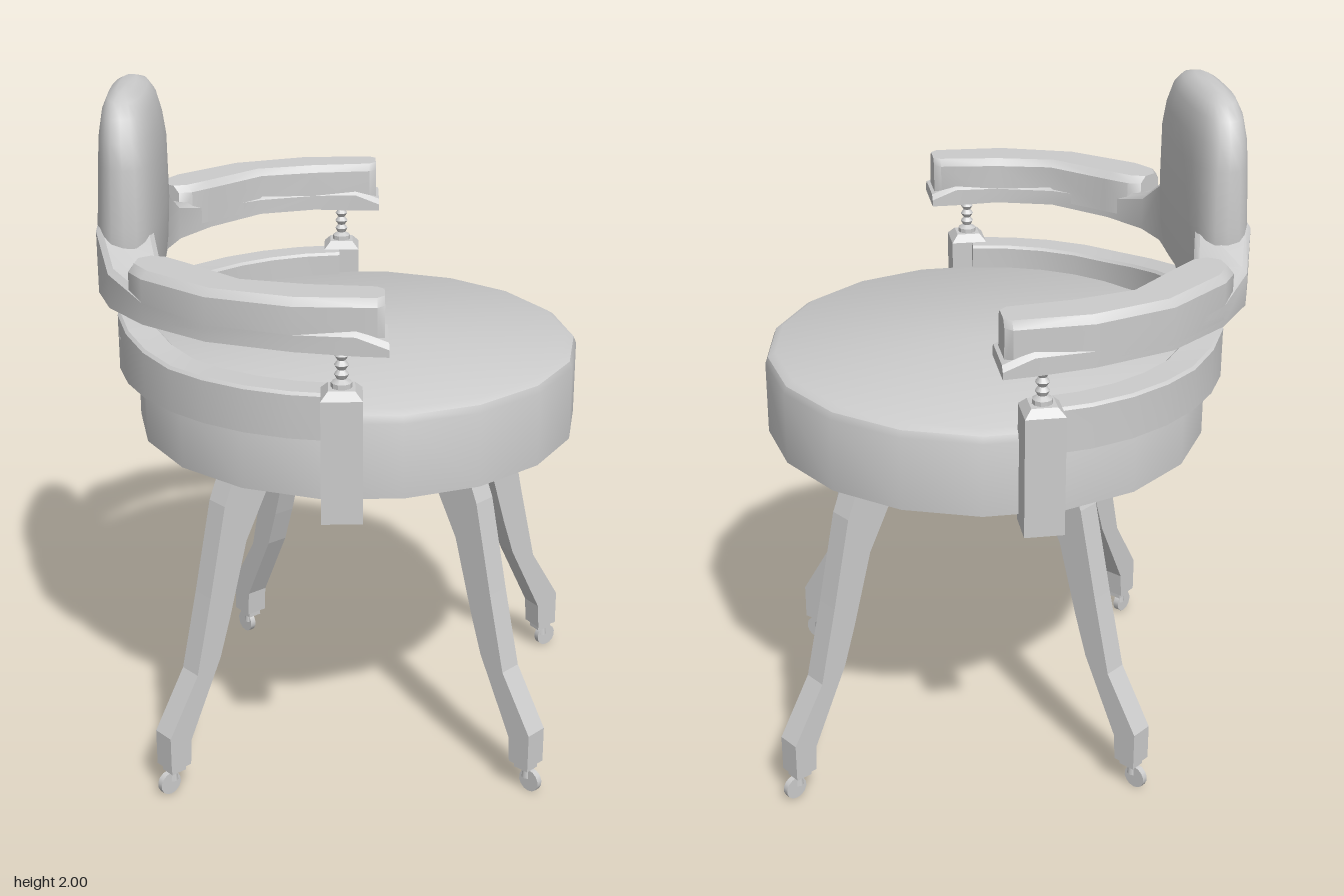
import * as THREE from 'three';
import { toCreasedNormals } from 'three/addons/utils/BufferGeometryUtils.js';

const material = new THREE.MeshStandardMaterial({ color: 0xcccccc });

function add(parent, name, geometry, x = 0, y = 0, z = 0) {
  const mesh = new THREE.Mesh(geometry, material);
  mesh.name = name;
  mesh.position.set(x, y, z);
  parent.add(mesh);
  return mesh;
}

// Closed skin over equal-length rings of [x, y, z], capped at both ends.
function loft(rings, crease = 0.6) {
  const n = rings[0].length;
  const points = rings.flat();
  const index = [];
  for (let r = 0; r < rings.length - 1; r++) {
    for (let i = 0; i < n; i++) {
      const a = r * n + i, b = r * n + (i + 1) % n;
      index.push(a, b, b + n, a, b + n, a + n);
    }
  }
  [0, rings.length - 1].forEach((r, k) => {
    const c = points.length;
    points.push([0, 1, 2].map((j) => rings[r].reduce((s, p) => s + p[j], 0) / n));
    for (let i = 0; i < n; i++) {
      const a = r * n + i, b = r * n + (i + 1) % n;
      index.push(...(k ? [c, a, b] : [c, b, a]));
    }
  });
  // Turn the skin outward if its signed volume is negative.
  const v = points.map((p) => new THREE.Vector3(...p));
  let volume = 0;
  for (let i = 0; i < index.length; i += 3) {
    volume += v[index[i]].dot(v[index[i + 1]].clone().cross(v[index[i + 2]]));
  }
  if (volume < 0) index.reverse();
  const g = new THREE.BufferGeometry();
  g.setAttribute('position', new THREE.Float32BufferAttribute(points.flat(), 3));
  g.setIndex(index);
  return toCreasedNormals(g, crease);
}

// Chamfered upright cross-section between an outer and an inner plan point.
function section([ox, oz], [ix, iz], y0, y1, bevel) {
  const t = bevel / Math.hypot(ox - ix, oz - iz);
  const at = (k, y) => [ox + (ix - ox) * k, y, oz + (iz - oz) * k];
  return [at(0, y0), at(0, y1 - bevel), at(t, y1), at(1 - t, y1), at(1, y1 - bevel), at(1, y0)];
}

// Rounded horizontal cross-section.
function slab(y, w, front, back, power) {
  const ring = [];
  const round = (c) => Math.sign(c) * Math.abs(c) ** (2 / power);
  for (let i = 0; i < 24; i++) {
    const a = (i / 24) * Math.PI * 2;
    ring.push([w * round(Math.cos(a)), y, (front + back) / 2 + (front - back) / 2 * round(Math.sin(a))]);
  }
  return ring;
}

function lathe(profile, sides) {
  return toCreasedNormals(new THREE.LatheGeometry(profile.map((p) => new THREE.Vector2(...p)), sides), 0.6);
}

// Curved leg with its caster; local x points outward.
function makeLeg() {
  const leg = new THREE.Group();
  leg.name = 'leg';
  const shape = new THREE.Shape([
    [0, 1.02], [0, 0.93], [0.09, 0.88], [0.17, 0.74], [0.235, 0.52], [0.275, 0.4], [0.34, 0.27],
    [0.39, 0.17], [0.395, 0.09], [0.465, 0.09], [0.465, 0.2], [0.36, 0.37], [0.305, 0.6],
    [0.245, 0.87], [0.18, 1.02],
  ].map((p) => new THREE.Vector2(...p)));
  const g = new THREE.ExtrudeGeometry(shape, { depth: 0.07, bevelEnabled: false });
  g.translate(0, 0, -0.035);
  add(leg, 'legCurve', g);
  add(leg, 'casterPlate', new THREE.BoxGeometry(0.05, 0.02, 0.045), 0.43, 0.08, 0);
  add(leg, 'casterStem', new THREE.CylinderGeometry(0.012, 0.016, 0.04, 8), 0.437, 0.06, 0);
  const wheel = new THREE.CylinderGeometry(0.035, 0.035, 0.018, 14).rotateX(Math.PI / 2);
  add(leg, 'casterWheel', wheel, 0.45, 0.035, 0);
  return leg;
}

export function createModel() {
  const chair = new THREE.Group();
  chair.name = 'chair';

  // Round seat with a softened top edge
  add(chair, 'seat', lathe([[0, 1.01], [0.645, 1.01], [0.645, 1.225], [0.637, 1.245],
    [0.615, 1.258], [0, 1.262]], 18), 0.015, 0, 0.003);

  // Four splayed legs: inner end x, z and outward direction in degrees
  for (const [x, z, angle] of [[0.315, 0.09, 18], [0.005, 0.25, 95], [0.095, -0.175, -79], [-0.27, -0.045, 189]]) {
    const leg = makeLeg();
    leg.position.set(x, 0, z);
    leg.rotation.y = -THREE.MathUtils.degToRad(angle);
    chair.add(leg);
  }

  // The back and arms are turned from the front
  const upper = new THREE.Group();
  upper.name = 'backAndArms';
  upper.rotation.y = 0.688;
  chair.add(upper);

  // Low rail around the back, rising to the middle
  const rail = [];
  for (let deg = -86; deg <= 86; deg += 10.75) {
    const a = THREE.MathUtils.degToRad(deg);
    const top = 1.33 + 0.04 * THREE.MathUtils.clamp((40 - Math.abs(deg)) / 30, 0, 1);
    const plan = (r) => [r * Math.sin(a), -r * Math.cos(a)];
    rail.push(section(plan(0.685), plan(0.59), 1.2, top, 0.008));
  }
  add(upper, 'backRail', loft(rail, 0.45));

  // Splat joining rail and backrest
  add(upper, 'backSplat', loft([
    slab(1.3, 0.17, -0.585, -0.675, 5), slab(1.37, 0.11, -0.585, -0.67, 5), slab(1.42, 0.11, -0.575, -0.68, 5),
    slab(1.45, 0.16, -0.56, -0.7, 4), slab(1.49, 0.24, -0.55, -0.715, 4),
  ], 0.9));

  // Horseshoe arm frame: outer point, inner point, bottom and top
  const half = [
    [[0.775, 0.085], [0.605, 0.085], 1.465, 1.5],
    [[0.765, 0.0], [0.605, 0.01], 1.465, 1.53],
    [[0.745, -0.16], [0.6, -0.12], 1.47, 1.53],
    [[0.665, -0.385], [0.55, -0.29], 1.47, 1.53],
    [[0.515, -0.56], [0.42, -0.44], 1.465, 1.54],
    [[0.36, -0.665], [0.31, -0.525], 1.46, 1.57],
    [[0.22, -0.71], [0.2, -0.555], 1.46, 1.65],
  ];
  const mirrored = half.map(([[ox, oz], [ix, iz], a, b]) => [[-ox, oz], [-ix, iz], a, b]).reverse();
  const frame = [...half, [[0, -0.72], [0, -0.55], 1.46, 1.66], ...mirrored];
  add(upper, 'armFrame', loft(frame.map((s) => section(...s, 0.015)), 0.7));

  // Padded back
  add(upper, 'backrest', loft([
    slab(1.46, 0.26, -0.55, -0.72, 3), slab(1.53, 0.28, -0.54, -0.725, 2.8), slab(1.65, 0.283, -0.533, -0.72, 2.7),
    slab(1.82, 0.283, -0.535, -0.71, 2.7), slab(1.89, 0.272, -0.545, -0.705, 2.7), slab(1.95, 0.24, -0.56, -0.695, 2.7),
    slab(1.985, 0.19, -0.58, -0.68, 2.7), slab(2.0, 0.13, -0.61, -0.655, 2.5),
  ], 1.1));

  for (const side of [1, -1]) {
    const name = side > 0 ? 'left' : 'right';

    // Arm pad on the frame
    const pad = [
      [[0.735, 0.075], [0.64, 0.075]], [[0.755, 0.055], [0.62, 0.055]], [[0.745, -0.16], [0.6, -0.12]],
      [[0.665, -0.385], [0.56, -0.285]], [[0.515, -0.56], [0.42, -0.43]], [[0.45, -0.6], [0.365, -0.49]],
      [[0.4, -0.595], [0.355, -0.53]],
    ].map(([o, i]) => section([o[0] * side, o[1]], [i[0] * side, i[1]], 1.485, 1.61, 0.02));
    add(upper, name + 'ArmPad', loft(pad, 0.7));

    // Post beside the seat, with a turned spindle under the arm
    const post = new THREE.Group();
    post.name = name + 'Post';
    post.position.set(side * 0.68, 0, -0.035);
    upper.add(post);
    add(post, 'postBlock', new THREE.BoxGeometry(0.11, 0.345, 0.11), 0, 1.1575, 0);
    const cap = new THREE.CylinderGeometry(0.05, 0.0778, 0.022, 4).rotateY(Math.PI / 4);
    add(post, 'postCap', toCreasedNormals(cap, 0.3), 0, 1.341, 0);
    add(post, 'spindle', lathe([[0, 1.35], [0.028, 1.35], [0.028, 1.365], [0.013, 1.375], [0.02, 1.388],
      [0.011, 1.4], [0.02, 1.413], [0.011, 1.426], [0.019, 1.438], [0.011, 1.45], [0.025, 1.462], [0.025, 1.475], [0, 1.475]], 10));
  }

  return chair;
}
